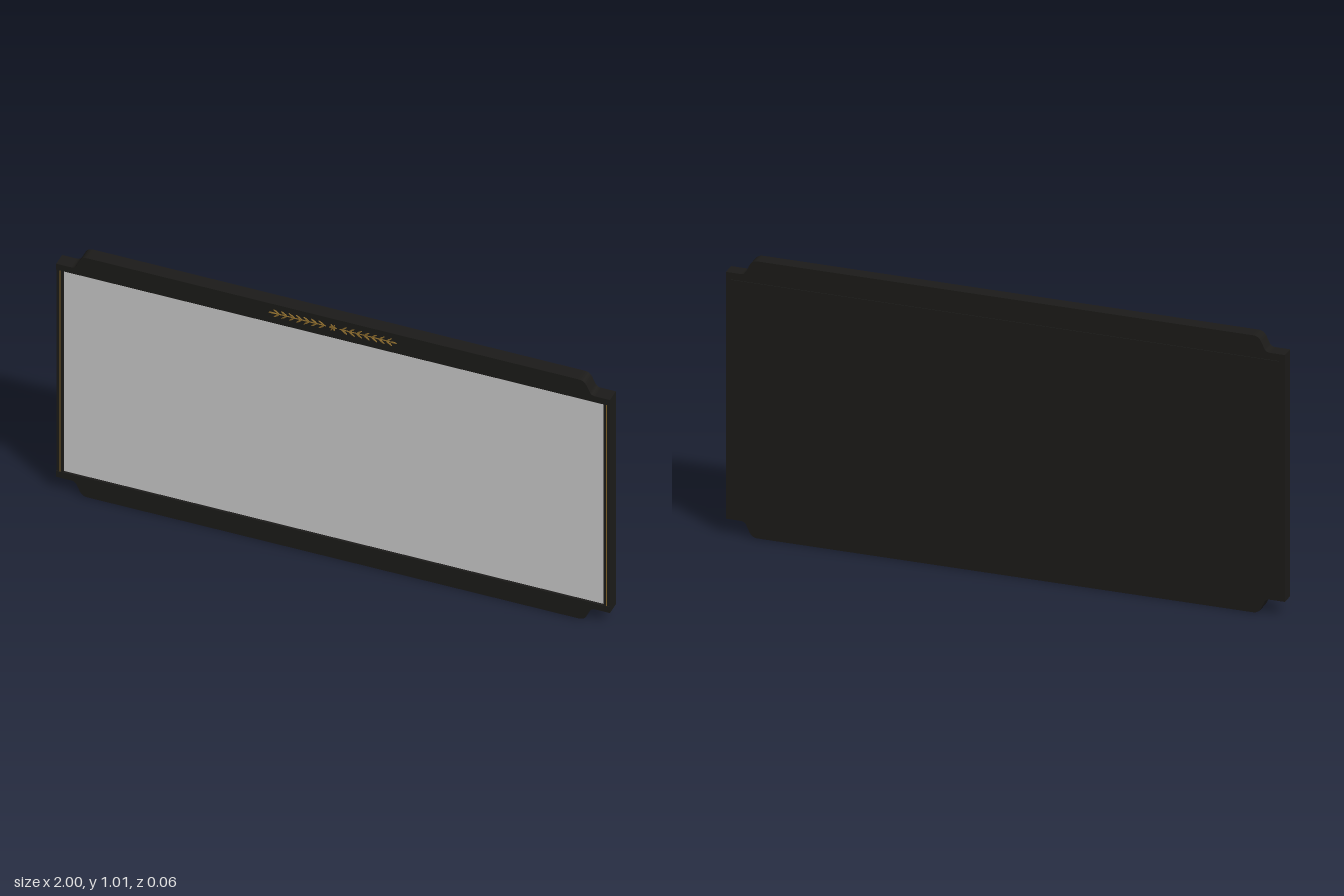
import * as THREE from 'three';

const BLACK = new THREE.MeshStandardMaterial({ color: 0x1c1b19 });
const GLASS = new THREE.MeshStandardMaterial({ color: 0xcccccc });
const GOLD = new THREE.MeshStandardMaterial({ color: 0x8a6a2c });
const MID = 0.505; // height of the horizontal mirror plane

function add(parent, name, geometry, material, x = 0, y = 0, z = 0) {
  const mesh = new THREE.Mesh(geometry, material);
  mesh.name = name;
  mesh.position.set(x, y, z);
  parent.add(mesh);
  return mesh;
}

// Rail outline with a raised shoulder, mirrored for the bottom edge
function railGeometry(depth, flip) {
  const s = new THREE.Shape();
  const y = (v) => (flip ? 2 * MID - v : v);
  s.moveTo(-1, y(0.93));
  s.lineTo(1, y(0.93));
  s.lineTo(1, y(0.955));
  s.lineTo(0.945, y(0.955));
  s.quadraticCurveTo(0.932, y(0.956), 0.927, y(0.967));
  s.lineTo(0.914, y(0.994));
  s.quadraticCurveTo(0.906, y(1.01), 0.885, y(1.01));
  s.lineTo(-0.885, y(1.01));
  s.quadraticCurveTo(-0.906, y(1.01), -0.914, y(0.994));
  s.lineTo(-0.927, y(0.967));
  s.quadraticCurveTo(-0.932, y(0.956), -0.945, y(0.955));
  s.lineTo(-1, y(0.955));
  s.closePath();
  return new THREE.ExtrudeGeometry(s, { depth, bevelEnabled: false, curveSegments: 5 });
}

// Pointed leaf lying along +x from its base
function leafGeometry(length, width) {
  const s = new THREE.Shape();
  s.moveTo(0, 0);
  s.quadraticCurveTo(length * 0.5, -width, length, 0);
  s.quadraticCurveTo(length * 0.5, width, 0, 0);
  return new THREE.ExtrudeGeometry(s, { depth: 0.004, bevelEnabled: false, curveSegments: 4 });
}

export function createModel() {
  const model = new THREE.Group();
  model.name = 'framedMirror';

  // Frame: shoulder rails above and below, slim stiles at the sides
  add(model, 'topRail', railGeometry(0.052, false), BLACK, 0, 0, -0.025);
  add(model, 'bottomRail', railGeometry(0.052, true), BLACK, 0, 0, -0.025);
  for (const side of [-1, 1]) {
    const name = side > 0 ? 'left' : 'right';
    add(model, name + 'Stile', new THREE.BoxGeometry(0.025, 0.85, 0.05), BLACK, side * 0.9875, MID, 0);
    add(model, name + 'Inlay', new THREE.BoxGeometry(0.003, 0.85, 0.002), GOLD, side * 0.987, MID, 0.025);
  }

  // Pane and backing
  add(model, 'mirrorPane', new THREE.BoxGeometry(1.95, 0.87, 0.008), GLASS, 0, MID, 0.014);
  add(model, 'backPanel', new THREE.BoxGeometry(1.96, 0.87, 0.036), BLACK, 0, 0.495, -0.01);

  // Gilded spray on the top rail: two stems of paired leaves and a centre flower
  const spray = new THREE.Group();
  spray.name = 'laurelOrnament';
  spray.position.set(0, 0.974, 0.027);
  model.add(spray);
  const leaf = leafGeometry(0.026, 0.0045);
  for (const side of [-1, 1]) {
    const branch = new THREE.Group();
    branch.name = side > 0 ? 'leftBranch' : 'rightBranch';
    branch.rotation.z = side > 0 ? 0 : Math.PI;
    spray.add(branch);
    add(branch, 'stem', new THREE.BoxGeometry(0.18, 0.0025, 0.003), GOLD, 0.115, 0, 0.0015);
    for (let i = 0; i < 7; i++) {
      for (const tilt of [-0.6, 0.6]) {
        add(branch, 'leaf', leaf, GOLD, 0.03 + i * 0.027, 0, 0).rotation.z = tilt;
      }
    }
    add(branch, 'tipLeaf', leaf, GOLD, 0.205, 0, 0);
  }
  const petal = leafGeometry(0.014, 0.005);
  for (let i = 0; i < 6; i++) {
    add(spray, 'petal', petal, GOLD).rotation.z = (i * Math.PI) / 3;
  }
  return model;
}
